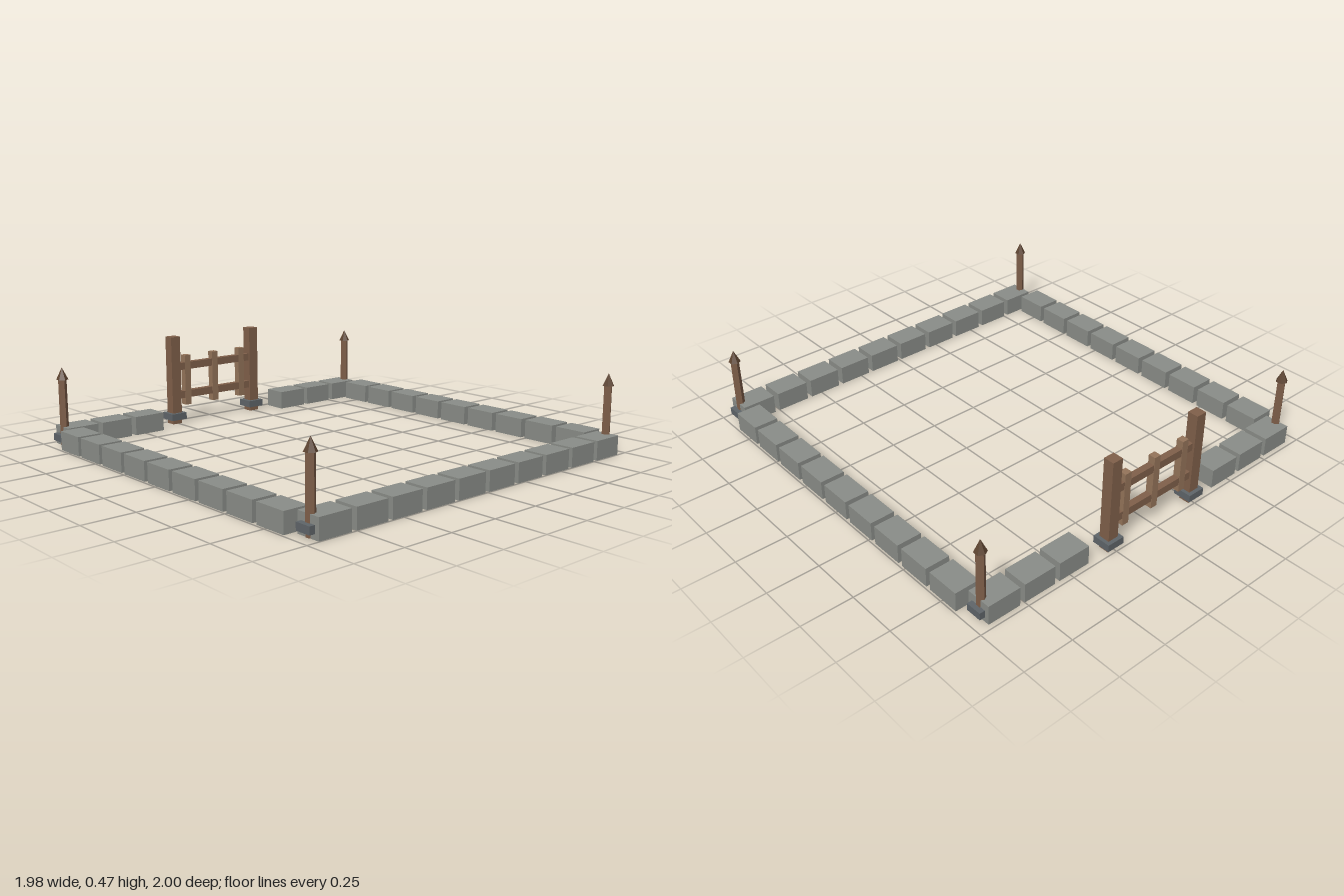
import * as THREE from 'three';

const paint = (color) => new THREE.MeshStandardMaterial({ color, flatShading: true });

export function createModel() {
  const model = new THREE.Group();
  model.name = 'fencedPlot';

  const stone = paint(0x8a8d88);
  const darkStone = paint(0x5f6569);
  const wood = paint(0x80604a);
  const paleWood = paint(0x94745a);
  const tipWood = paint(0x5c4330);

  const add = (parent, name, geometry, material, x, y, z) => {
    const mesh = new THREE.Mesh(geometry, material);
    mesh.name = name;
    mesh.position.set(x, y, z);
    parent.add(mesh);
    return mesh;
  };
  const group = (name) => {
    const g = new THREE.Group();
    g.name = name;
    model.add(g);
    return g;
  };

  const pitch = 0.1905;
  const frontZ = 0.936, backZ = -0.915, sideX = 0.929;
  const midZ = (frontZ + backZ) / 2;

  // Stone border: full front row, back row with an opening for the gate
  const border = group('stoneBorder');
  const rowBlock = new THREE.BoxGeometry(0.165, 0.094, 0.122);
  for (let i = 0; i < 10; i++) {
    const x = (i - 4.5) * pitch;
    add(border, 'frontBlock', rowBlock, stone, x, 0.047, frontZ);
    if (i < 3 || i > 6) add(border, 'backBlock', rowBlock, stone, x, 0.047, backZ);
  }

  // Side rows
  const sideBlock = new THREE.BoxGeometry(0.122, 0.094, 0.165);
  for (const side of [-1, 1]) {
    for (let i = 0; i < 9; i++) {
      add(border, 'sideBlock', sideBlock, stone, side * sideX, 0.047, midZ + (i - 4) * pitch);
    }
  }

  // Pointed corner stakes on square footings
  const stakeShaft = new THREE.CylinderGeometry(0.02, 0.021, 0.33, 6);
  const stakeTip = new THREE.ConeGeometry(0.029, 0.06, 6);
  const stakeFoot = new THREE.BoxGeometry(0.08, 0.035, 0.078);
  for (const x of [-0.926, 0.926]) {
    for (const z of [frontZ, backZ]) {
      const stake = group('cornerStake');
      stake.position.set(x, 0, z);
      add(stake, 'stakeFooting', stakeFoot, darkStone, 0, 0.041, 0);
      add(stake, 'stakeShaft', stakeShaft, wood, 0, 0.165, 0);
      add(stake, 'stakeTip', stakeTip, tipWood, 0, 0.357, 0);
    }
  }

  // Gate: two square posts with footings, two rails, three pickets
  const gate = group('gate');
  gate.position.z = -0.955;
  const gatePost = new THREE.BoxGeometry(0.055, 0.465, 0.053);
  const gateFoot = new THREE.BoxGeometry(0.09, 0.035, 0.09);
  for (const x of [-0.256, 0.256]) {
    add(gate, 'gatePost', gatePost, wood, x, 0.2325, 0);
    add(gate, 'gateFooting', gateFoot, darkStone, x, 0.041, 0);
  }
  const rail = new THREE.BoxGeometry(0.48, 0.038, 0.033);
  for (const y of [0.15, 0.303]) add(gate, 'gateRail', rail, wood, 0, y, 0);
  const picket = new THREE.BoxGeometry(0.036, 0.267, 0.036);
  for (const x of [-0.177, 0, 0.177]) add(gate, 'gatePicket', picket, paleWood, x, 0.2265, 0);

  return model;
}
